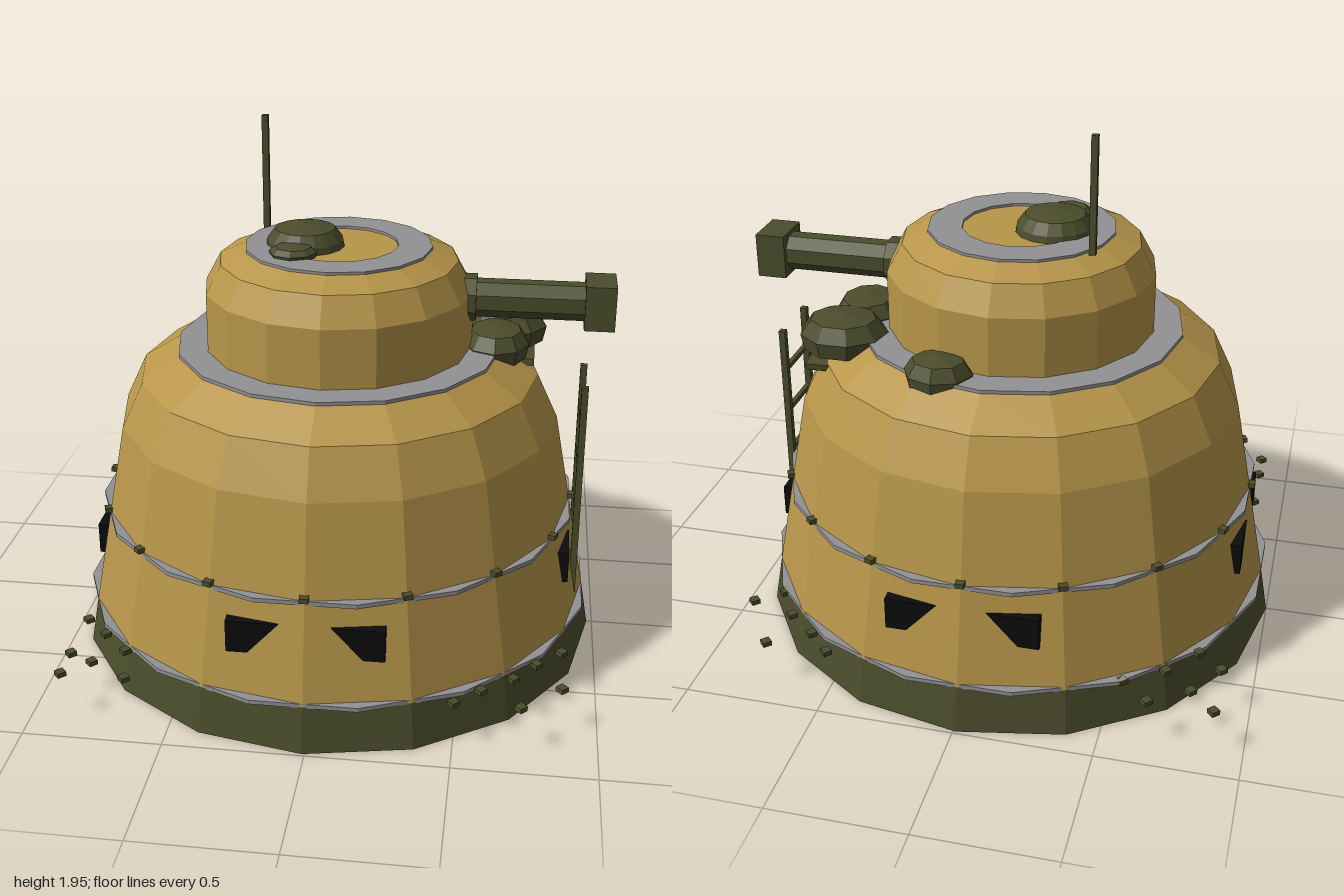
import * as THREE from 'three';

const mat = (name, color) => {
  const m = new THREE.MeshStandardMaterial({ color, flatShading: true });
  m.name = name;
  return m;
};

export function createModel() {
  const tan = mat('sandy tan', 0xb8964a);
  const olive = mat('olive green', 0x4b4d2c);
  const oliveInside = mat('olive underside', 0x4b4d2c);
  oliveInside.side = THREE.DoubleSide;
  const grey = mat('trim grey', 0x929294);
  const black = mat('window black', 0x0c0c0c);

  const model = new THREE.Group();
  model.name = 'domeBunker';
  const hull = new THREE.Group();
  hull.name = 'hull';
  hull.position.x = -0.01;
  model.add(hull);

  const add = (parent, name, geo, material, x = 0, y = 0, z = 0) => {
    const m = new THREE.Mesh(geo, material);
    m.name = name;
    m.position.set(x, y, z);
    parent.add(m);
    return m;
  };
  const lathe = (pts, sides = 16) =>
    new THREE.LatheGeometry(pts.map(([r, y]) => new THREE.Vector2(r, y)), sides);
  const box = (w, h, d) => new THREE.BoxGeometry(w, h, d);

  // Stepped dome, skirt and turret
  add(hull, 'skirt', lathe([[0.99, 0], [0.96, 0.17]]), olive);
  add(hull, 'lowerDome', lathe([[0.96, 0.17], [0.89, 0.54], [0.825, 0.88], [0.745, 1.05], [0.6, 1.14], [0.4, 1.14]]), tan);
  add(hull, 'upperTurret', lathe([[0.497, 1.13], [0.497, 1.37], [0.44, 1.475], [0.345, 1.515], [0, 1.515]]), tan);

  // Grey trim: two bands whose corners sit over the hull facets, two flat rings
  for (const [r, y] of [[0.976, 0.173], [0.907, 0.537]]) {
    const band = add(hull, 'trimBand', new THREE.CylinderGeometry(r, r, 0.016, 16), grey, 0, y, 0);
    band.rotation.y = Math.PI / 16;
  }
  add(hull, 'ledgeRing', lathe([[0.605, 1.135], [0.605, 1.15], [0.45, 1.15]]), grey);
  add(hull, 'roofRing', lathe([[0.345, 1.51], [0.345, 1.525], [0.22, 1.525], [0.22, 1.51]]), grey);

  // Inner wall of the skirt, closing from the round rim to a square floor
  const pos = [];
  const index = [];
  for (let i = 0; i <= 16; i++) {
    const a = (i / 16) * Math.PI * 2;
    const s = Math.sin(a), c = Math.cos(a);
    const r = 0.95 / (Math.abs(s) + Math.abs(c));
    pos.push(0.99 * s, 0, 0.99 * c, r * s, 0.155, r * c);
    if (i < 16) index.push(2 * i, 2 * i + 1, 2 * i + 2, 2 * i + 2, 2 * i + 1, 2 * i + 3);
  }
  const wall = new THREE.BufferGeometry();
  wall.setAttribute('position', new THREE.Float32BufferAttribute(pos, 3));
  wall.setIndex(index);
  wall.computeVertexNormals();
  add(hull, 'skirtInnerWall', wall, oliveInside);
  add(hull, 'floor', new THREE.CircleGeometry(0.95, 4), olive, 0, 0.155, 0).rotation.x = Math.PI / 2;

  // Four sides, each with a mirrored pair of slanted windows and floor ribs
  for (let k = 0; k < 4; k++) {
    const side = new THREE.Group();
    side.name = 'hullSide';
    side.rotation.y = (k * Math.PI) / 2;
    hull.add(side);
    for (const s of [-1, 1]) {
      const shape = new THREE.Shape(
        [[0.09, 0.45], [0.275, 0.45], [0.275, 0.33], [0.2, 0.33]].map(([x, y]) => new THREE.Vector2(s * x, y)));
      const geo = new THREE.ExtrudeGeometry(shape, { depth: 0.05, bevelEnabled: false });
      add(side, 'window', geo, black, 0, 0, 0.844);
    }
    for (const d of [0.56, 0.62, 0.68, 0.74]) {
      add(side, 'floorRib', box(2 * (0.92 - d), 0.008, 0.025), grey, 0, 0.151, d);
    }
  }

  // Bolts on the middle band
  const bolt = box(0.032, 0.018, 0.032);
  for (let i = 0; i < 16; i++) {
    const a = (i * Math.PI) / 8;
    add(hull, 'bandBolt', bolt, olive, 0.893 * Math.sin(a), 0.556, 0.893 * Math.cos(a)).rotation.y = a;
  }
  // Loose bolts spread around the four corners of the skirt
  const corner = [
    [-0.89, 0.88], [-0.66, 0.88], [-0.8, 0.79], [-0.7, 0.7], [-0.56, 0.79], [-0.89, 0.65], [-0.8, 0.57],
  ];
  const cornerRight = [
    [0.5, 0.88], [0.73, 0.88], [0.59, 0.79], [0.7, 0.7], [0.87, 0.65], [0.78, 0.57],
  ];
  const cornerFront = [
    [-0.89, 0.51], [-0.8, 0.6], [-0.89, 0.74], [-0.7, 0.7], [-0.8, 0.785], [-0.89, 0.87], [-0.66, 0.87],
  ];
  const cornerFrontRight = [
    [0.87, 0.51], [0.78, 0.6], [0.87, 0.74], [0.7, 0.7], [0.59, 0.785], [0.5, 0.87], [0.73, 0.87],
  ];
  for (const [list, sz] of [[corner, -1], [cornerRight, -1], [cornerFront, 1], [cornerFrontRight, 1]]) {
    for (const [x, z] of list) {
      add(model, 'cornerBolt', bolt, olive, x, 0.172, sz * z).rotation.y = Math.PI / 4;
    }
  }

  // Ladder
  const ladder = new THREE.Group();
  ladder.name = 'ladder';
  model.add(ladder);
  for (const s of [-1, 1]) add(ladder, 'ladderRail', box(0.025, 0.85, 0.025), olive, 0.908, 0.625, s * 0.112);
  for (const y of [0.35, 0.53, 0.71, 0.885]) add(ladder, 'ladderRung', box(0.018, 0.018, 0.22), olive, 0.908, y, 0);

  // Gun
  const gun = new THREE.Group();
  gun.name = 'gun';
  gun.position.set(0, 1.34, 0);
  model.add(gun);
  const tube = (name, r, x0, x1) => {
    const geo = new THREE.CylinderGeometry(r, r, x1 - x0, 8);
    geo.rotateY(Math.PI / 8).rotateZ(Math.PI / 2);
    add(gun, name, geo, olive, (x0 + x1) / 2, 0, 0);
  };
  tube('gunCollar', 0.087, 0.44, 0.5);
  tube('gunBarrel', 0.071, 0.48, 0.9);
  add(gun, 'muzzle', box(0.11, 0.166, 0.17), olive, 0.945, 0, 0);

  // Faceted domed lumps: roof hatch, its periscope and the gear on the ledge
  const lump = (name, x, y, z, rx, h, rz, sides = 9) => {
    const geo = lathe([[0, 0], [0.92, 0], [1, 0.45], [0.75, 0.85], [0, 1]], sides);
    add(model, name, geo, olive, x, y, z).scale.set(rx, h, rz);
  };
  add(model, 'hatch', lathe([[0.145, 1.515], [0.14, 1.54], [0.11, 1.58], [0, 1.6]], 16), olive, -0.133, 0, 0);
  lump('hatchPeriscope', -0.155, 1.515, 0.15, 0.088, 0.045, 0.085, 8);
  lump('ledgePackLarge', 0.6, 1.09, -0.26, 0.165, 0.135, 0.145);
  lump('ledgePackSmall', 0.575, 1.1, -0.05, 0.125, 0.12, 0.15);
  lump('ledgePackRear', 0.165, 1.1, -0.51, 0.125, 0.12, 0.105, 8);
  add(model, 'ledgePackFlap', box(0.1, 0.025, 0.34), olive, 0.67, 1.06, -0.19).rotation.x = -0.14;

  // Antenna
  add(model, 'antenna', box(0.024, 0.43, 0.024), olive, -0.31, 1.73, -0.2);

  return model;
}
